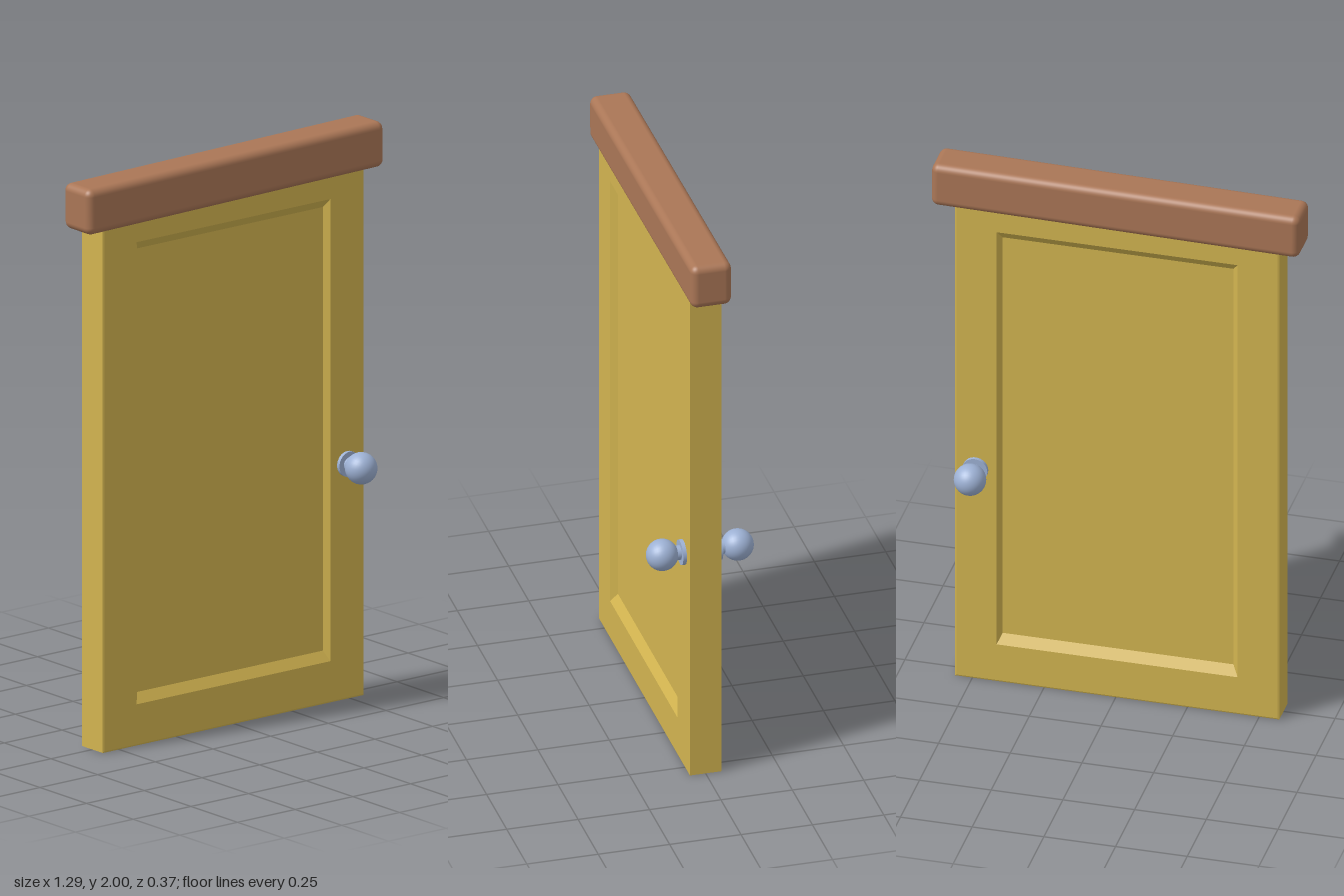
import * as THREE from 'three';
import { RoundedBoxGeometry } from 'three/addons/geometries/RoundedBoxGeometry.js';

// Closed solid from rectangular rings [x0, x1, y0, y1, z], ordered from back to front
function ringSolid(rings) {
  const pos = [], idx = [];
  for (const [x0, x1, y0, y1, z] of rings) {
    pos.push(x0, y0, z, x1, y0, z, x1, y1, z, x0, y1, z);
  }
  for (let r = 0; r < rings.length - 1; r++) {
    for (let i = 0; i < 4; i++) {
      const a = r * 4 + i, b = r * 4 + (i + 1) % 4;
      idx.push(a, b, b + 4, a, b + 4, a + 4);
    }
  }
  const n = (rings.length - 1) * 4;
  idx.push(0, 2, 1, 0, 3, 2, n, n + 1, n + 2, n, n + 2, n + 3);
  const geo = new THREE.BufferGeometry();
  geo.setAttribute('position', new THREE.Float32BufferAttribute(pos, 3));
  geo.setIndex(idx);
  const flat = geo.toNonIndexed();
  flat.computeVertexNormals();
  return flat;
}

export function createModel() {
  const paint = new THREE.MeshStandardMaterial({ color: 0xd2b450 });
  paint.name = 'yellowPaint';
  const wood = new THREE.MeshStandardMaterial({ color: 0xaa7656 });
  wood.name = 'brownWood';
  const metal = new THREE.MeshStandardMaterial({ color: 0x9db1d4 });
  metal.name = 'blueGreyMetal';

  const door = new THREE.Group();
  door.name = 'door';
  const add = (parent, name, geo, mat) => {
    const mesh = new THREE.Mesh(geo, mat);
    mesh.name = name;
    parent.add(mesh);
    return mesh;
  };

  // Door leaf: a frame with a bevelled recessed panel on both faces
  const face = [
    [-0.57, 0.56, 0, 1.87, 0.055],
    [-0.565, 0.555, 0.005, 1.865, 0.057],
    [-0.425, 0.415, 0.145, 1.765, 0.057],
    [-0.405, 0.4, 0.18, 1.735, 0.035],
  ];
  const back = face.map(([a, b, c, d, z]) => [a, b, c, d, -z]).reverse();
  add(door, 'doorLeaf', ringSolid([...back, ...face]), paint);

  // Slightly tilted beam over the leaf
  const lintel = add(door, 'lintel', new RoundedBoxGeometry(1.285, 0.16, 0.143, 4, 0.026), wood);
  lintel.position.y = 1.9125;
  lintel.rotation.z = 0.012;

  // One handle on each face
  for (const side of [1, -1]) {
    const handle = new THREE.Group();
    handle.name = side > 0 ? 'frontHandle' : 'backHandle';
    handle.position.set(0.488, 0.825, 0);
    handle.rotation.x = side * Math.PI / 2;
    const plate = add(handle, 'handlePlate', new THREE.CylinderGeometry(0.044, 0.044, 0.03, 32), metal);
    plate.position.y = 0.055;
    const stem = add(handle, 'handleStem', new THREE.CylinderGeometry(0.025, 0.025, 0.08, 24), metal);
    stem.position.y = 0.09;
    const knob = add(handle, 'handleKnob', new THREE.SphereGeometry(0.055, 32, 20), metal);
    knob.position.y = 0.132;
    door.add(handle);
  }
  return door;
}
